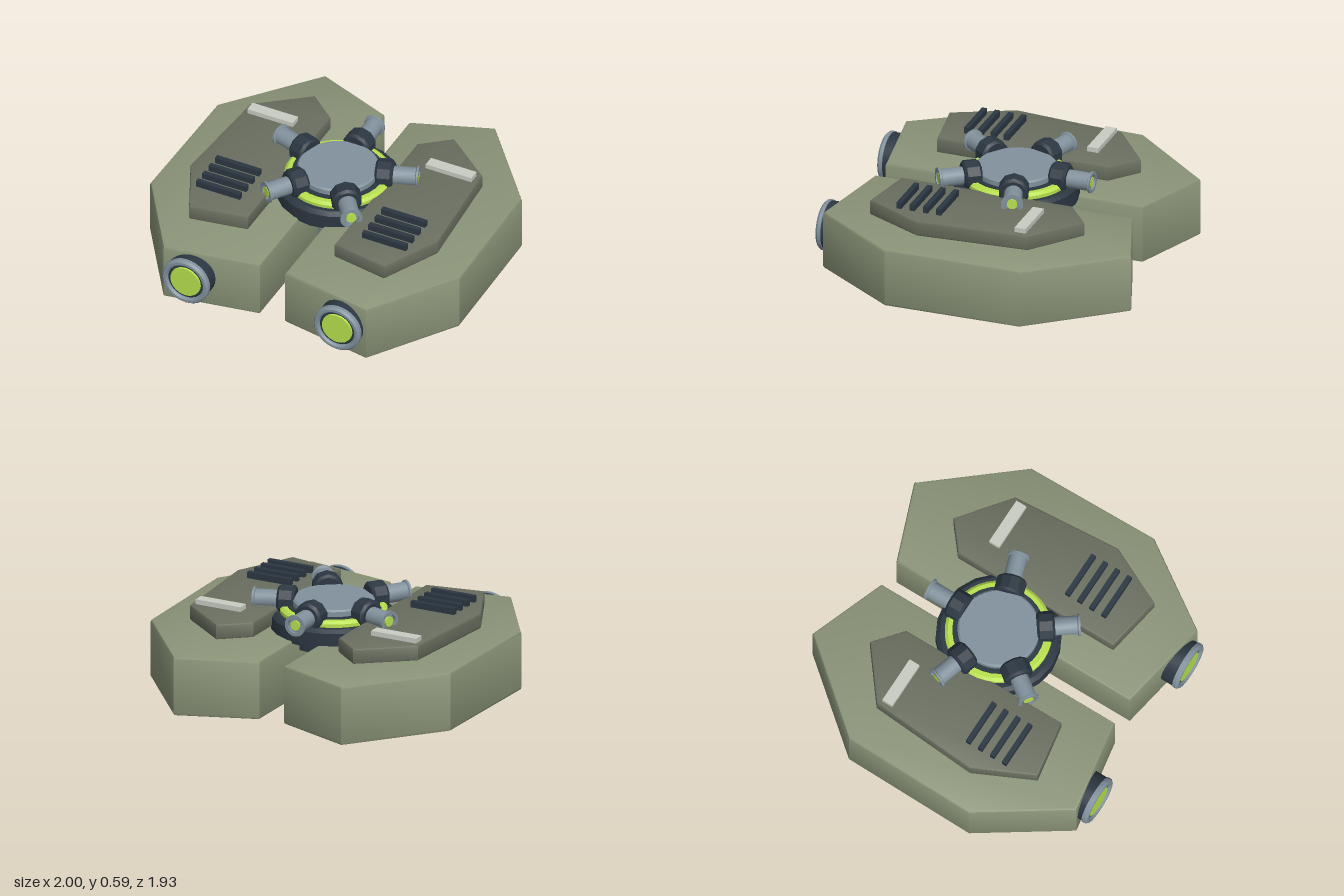
import * as THREE from 'three';
import { toCreasedNormals } from 'three/addons/utils/BufferGeometryUtils.js';

const mat = (color) => new THREE.MeshStandardMaterial({ color });
const OLIVE = mat(0x8a9478), PLATE = mat(0x6a6f60), DARK = mat(0x2c3742);
const STEEL = mat(0x81919c), LIME = mat(0xb8e04e), PALE = mat(0xc8ccc2);

function add(parent, name, geometry, material, x = 0, y = 0, z = 0) {
  const mesh = new THREE.Mesh(geometry, material);
  mesh.name = name;
  mesh.position.set(x, y, z);
  parent.add(mesh);
  return mesh;
}

// Bevelled slab from a plan outline of [x, z] points, between heights y0 and y1
function slab(points, side, y0, y1, bevel) {
  const shape = new THREE.Shape(points.map(([x, z]) => new THREE.Vector2(x * side, -z)));
  const geo = new THREE.ExtrudeGeometry(shape, {
    depth: y1 - y0 - 2 * bevel, bevelEnabled: true, bevelThickness: bevel,
    bevelSize: bevel, bevelOffset: -bevel, bevelSegments: 2,
  });
  geo.rotateX(-Math.PI / 2).translate(0, y0 + bevel, 0);
  return toCreasedNormals(geo, 0.6);
}

// Turned part from [radius, height] points
function turned(profile, segments) {
  const pts = profile.map(([r, h]) => new THREE.Vector2(r, h));
  return toCreasedNormals(new THREE.LatheGeometry(pts, segments), 0.6);
}

const HULL = [[0.08, -0.79], [0.55, -0.965], [0.985, -0.44], [1, 0.39], [0.655, 0.905], [0.08, 0.805]];
const DECK = [[0.28, -0.495], [0.45, -0.635], [0.75, -0.4], [0.8, 0.27], [0.63, 0.625], [0.28, 0.565]];

// Front lamp, built along +y and turned to face +z
function createLamp() {
  const lamp = new THREE.Group();
  add(lamp, 'lampHousing', turned([[0, -0.12], [0.145, -0.12], [0.145, 0.035], [0.12, 0.045], [0, 0.045]], 32), DARK);
  add(lamp, 'lampRim', turned([[0.112, 0.03], [0.15, 0.03], [0.15, 0.05], [0.138, 0.063], [0.122, 0.063], [0.112, 0.052], [0.112, 0.03]], 32), STEEL);
  add(lamp, 'lampLens', new THREE.CylinderGeometry(0.095, 0.1, 0.02, 32), LIME, 0, 0.045, 0);
  lamp.rotation.x = Math.PI / 2;
  return lamp;
}

function createSide(side) {
  const group = new THREE.Group();
  group.name = side > 0 ? 'leftPod' : 'rightPod';
  add(group, 'hull', slab(HULL, side, 0, 0.36, 0.016), OLIVE);
  add(group, 'deckPlate', slab(DECK, side, 0.38, 0.475, 0.012), PLATE);

  // Vent bars and marker strip on the deck
  for (let i = 0; i < 4; i++) {
    add(group, 'ventBar', new THREE.BoxGeometry(0.285, 0.038, 0.03), DARK, side * 0.537, 0.494, 0.18 + i * 0.082);
  }
  add(group, 'markerStrip', new THREE.BoxGeometry(0.295, 0.03, 0.068), PALE, side * 0.577, 0.489, -0.343);

  const lamp = createLamp();
  lamp.name = 'frontLamp';
  lamp.position.set(side * 0.49, 0.197, 0.9);
  group.add(lamp);
  return group;
}

// Radial nozzle, built along +y and laid to point along -z
function createNozzle() {
  const nozzle = new THREE.Group();
  add(nozzle, 'nozzleHousing', turned([[0, 0.22], [0.075, 0.22], [0.09, 0.235], [0.09, 0.31], [0.075, 0.325], [0, 0.325]], 10), DARK);
  add(nozzle, 'nozzleBarrel', turned([
    [0.054, 0.3], [0.054, 0.455], [0.065, 0.46], [0.065, 0.472], [0.045, 0.472], [0.045, 0.455], [0, 0.455],
  ], 20), STEEL);
  add(nozzle, 'nozzleTip', new THREE.CylinderGeometry(0.03, 0.03, 0.012, 16), LIME, 0, 0.463, 0);
  nozzle.rotation.x = -Math.PI / 2;
  return nozzle;
}

function createTurret() {
  const turret = new THREE.Group();
  turret.name = 'turret';
  add(turret, 'column', new THREE.CylinderGeometry(0.13, 0.13, 0.26, 32), STEEL, 0, 0.17, 0);
  add(turret, 'lowerDrum', new THREE.CylinderGeometry(0.28, 0.28, 0.1, 20), DARK, 0, 0.33, 0);
  add(turret, 'baseDisc', turned([[0, 0.345], [0.365, 0.345], [0.365, 0.435], [0.34, 0.455], [0, 0.455]], 20), DARK);
  add(turret, 'glowRing', turned([[0.262, 0.45], [0.312, 0.45], [0.312, 0.475], [0.295, 0.49], [0.262, 0.49], [0.262, 0.45]], 40), LIME);
  add(turret, 'collar', new THREE.CylinderGeometry(0.268, 0.268, 0.055, 32), DARK, 0, 0.468, 0);
  add(turret, 'capDisc', turned([[0, 0.47], [0.238, 0.47], [0.238, 0.525], [0.228, 0.535], [0, 0.535]], 40), STEEL);

  // Five nozzles evenly around the turret
  for (let i = 0; i < 5; i++) {
    const arm = new THREE.Group();
    arm.name = 'nozzle';
    arm.add(createNozzle());
    arm.position.y = 0.503;
    arm.rotation.y = (i * Math.PI * 2) / 5;
    turret.add(arm);
  }
  turret.position.z = -0.04;
  return turret;
}

export function createModel() {
  const model = new THREE.Group();
  model.name = 'hoverPlatform';
  for (const side of [1, -1]) model.add(createSide(side));
  model.add(createTurret());
  return model;
}
